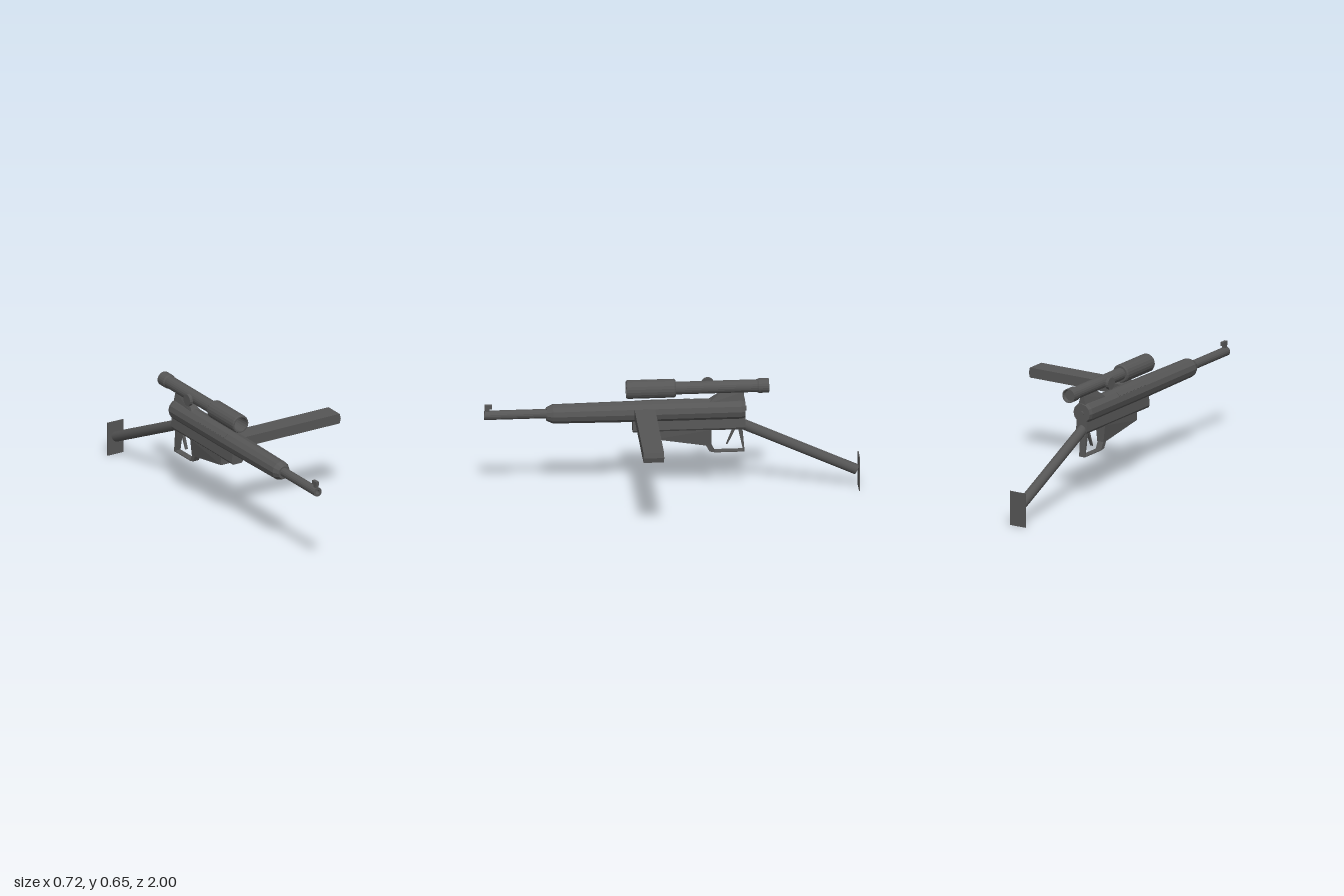
import * as THREE from 'three';

const material = new THREE.MeshStandardMaterial({ color: 0x555555, flatShading: true, side: THREE.DoubleSide });
const smooth = new THREE.MeshStandardMaterial({ color: 0x555555, side: THREE.DoubleSide });
const AXIS_Y = 0.477, SCOPE_Y = 0.604;

export function createModel() {
  const model = new THREE.Group();
  const body = new THREE.Group();
  body.name = 'body';
  body.position.x = -0.3;
  model.add(body);

  const add = (name, geometry, x = 0, y = 0, z = 0, mat = material) => {
    const mesh = new THREE.Mesh(geometry, mat);
    mesh.name = name;
    mesh.position.set(x, y, z);
    body.add(mesh);
    return mesh;
  };
  // Turned part along z, from [radius, z] pairs running back to front
  const turned = (name, y, sides, points, mat) => {
    const profile = points.map(([r, z]) => new THREE.Vector2(r, z));
    return add(name, new THREE.LatheGeometry(profile, sides).rotateX(Math.PI / 2), 0, y, 0, mat);
  };
  const extrude = (points, depth) => {
    const shape = new THREE.Shape(points.map(([a, b]) => new THREE.Vector2(a, b)));
    return new THREE.ExtrudeGeometry(shape, { depth, bevelEnabled: false }).translate(0, 0, -depth / 2);
  };
  // Side outline in [z, y], with half width given by a rule of y
  const sidePart = (name, points, halfWidth) => {
    const geometry = extrude(points, 2).rotateY(-Math.PI / 2);
    const p = geometry.attributes.position;
    for (let i = 0; i < p.count; i++) p.setX(i, p.getX(i) * halfWidth(p.getY(i)));
    geometry.computeVertexNormals();
    return add(name, geometry);
  };
  const ramp = (y0, w0, y1, w1) => y =>
    THREE.MathUtils.lerp(w0, w1, THREE.MathUtils.clamp((y - y0) / (y1 - y0), 0, 1));

  // Receiver and barrel
  turned('receiver', AXIS_Y, 12, [[0, -0.39], [0.052, -0.39], [0.058, -0.37], [0.058, 0.1], [0.052, 0.635], [0.036, 0.67], [0, 0.67]]);
  turned('boltEnd', AXIS_Y, 12, [[0, -0.397], [0.014, -0.397], [0.014, -0.38]]);
  turned('barrel', 0.48, 16, [[0.025, 0.65], [0.025, 1], [0.013, 1], [0.013, 0.94], [0, 0.94]]);
  add('frontSightPost', new THREE.BoxGeometry(0.018, 0.035, 0.022), 0, 0.516, 0.983);
  add('frontSightBlade', new THREE.BoxGeometry(0.018, 0.022, 0.04), 0, 0.527, 0.979);
  const port = add('ejectionPort', new THREE.BoxGeometry(0.004, 0.026, 0.26), -0.04, 0.517, 0.03);
  port.rotation.z = -Math.PI / 4;

  // Lower housing
  const housing = [[-0.03, 0.45], [-0.036, 0.38], [-0.028, 0.367], [0.028, 0.367], [0.036, 0.38], [0.03, 0.45]];
  add('lowerHousing', extrude(housing, 0.6), 0, 0, -0.09);
  sidePart('underside', [[0.095, 0.37], [0.095, 0.325], [-0.18, 0.276], [-0.21, 0.276], [-0.21, 0.37]],
    ramp(0.276, 0.02, 0.325, 0.03));

  // Trigger and its guard
  const guardWidth = () => 0.018;
  sidePart('guardFront', [[-0.18, 0.277], [-0.2, 0.24], [-0.23, 0.234], [-0.208, 0.277]], guardWidth);
  sidePart('guardBottom', [[-0.225, 0.239], [-0.225, 0.234], [-0.386, 0.234], [-0.384, 0.239]], guardWidth);
  sidePart('guardRear', [[-0.35, 0.375], [-0.38, 0.236], [-0.387, 0.236], [-0.375, 0.375]], guardWidth);
  sidePart('trigger', [[-0.328, 0.375], [-0.29, 0.275], [-0.296, 0.275], [-0.345, 0.375]], () => 0.008);

  // Side magazine
  add('magazine', extrude([[0.03, 0.45], [0.65, 0.45], [0.657, 0.478], [0.65, 0.505], [0.03, 0.505]], 0.11), 0, 0, 0.147);

  // Shoulder stock
  const from = new THREE.Vector3(0, 0.395, -0.36), to = new THREE.Vector3(0, 0.105, -0.985);
  const stock = add('stockTube', new THREE.CylinderGeometry(0.028, 0.028, from.distanceTo(to), 16), 0, 0, 0, smooth);
  stock.position.copy(from).add(to).multiplyScalar(0.5);
  stock.quaternion.setFromUnitVectors(new THREE.Vector3(0, 1, 0), from.clone().sub(to).normalize());
  add('buttPlate', new THREE.BoxGeometry(0.1, 0.188, 0.006), 0.003, 0.095, -0.997);

  // Telescopic sight on its mount
  sidePart('scopeMount', [[-0.19, 0.52], [-0.26, 0.575], [-0.385, 0.575], [-0.385, 0.49], [-0.19, 0.49]],
    ramp(0.52, 0.03, 0.575, 0.01));
  turned('scopeTube', SCOPE_Y, 20, [[0.034, -0.47], [0.034, 0]]);
  turned('scopeObjective', SCOPE_Y, 20, [[0, -0.02], [0.044, -0.02], [0.05, -0.012], [0.05, 0.235], [0.047, 0.243],
    [0.04, 0.243], [0.036, 0.15], [0, 0.15]]);
  turned('scopeEyepiece', SCOPE_Y, 20, [[0, -0.5], [0.03, -0.5], [0.034, -0.517], [0.039, -0.517], [0.039, -0.462], [0.034, -0.455]]);
  const knob = (name, radius, length, x) =>
    add(name, new THREE.CylinderGeometry(radius, radius, length, 16).rotateZ(Math.PI / 2), x, SCOPE_Y, -0.195);
  knob('knobShaft', 0.014, 0.03, -0.035);
  knob('adjustmentKnob', 0.033, 0.018, -0.052);

  return model;
}
